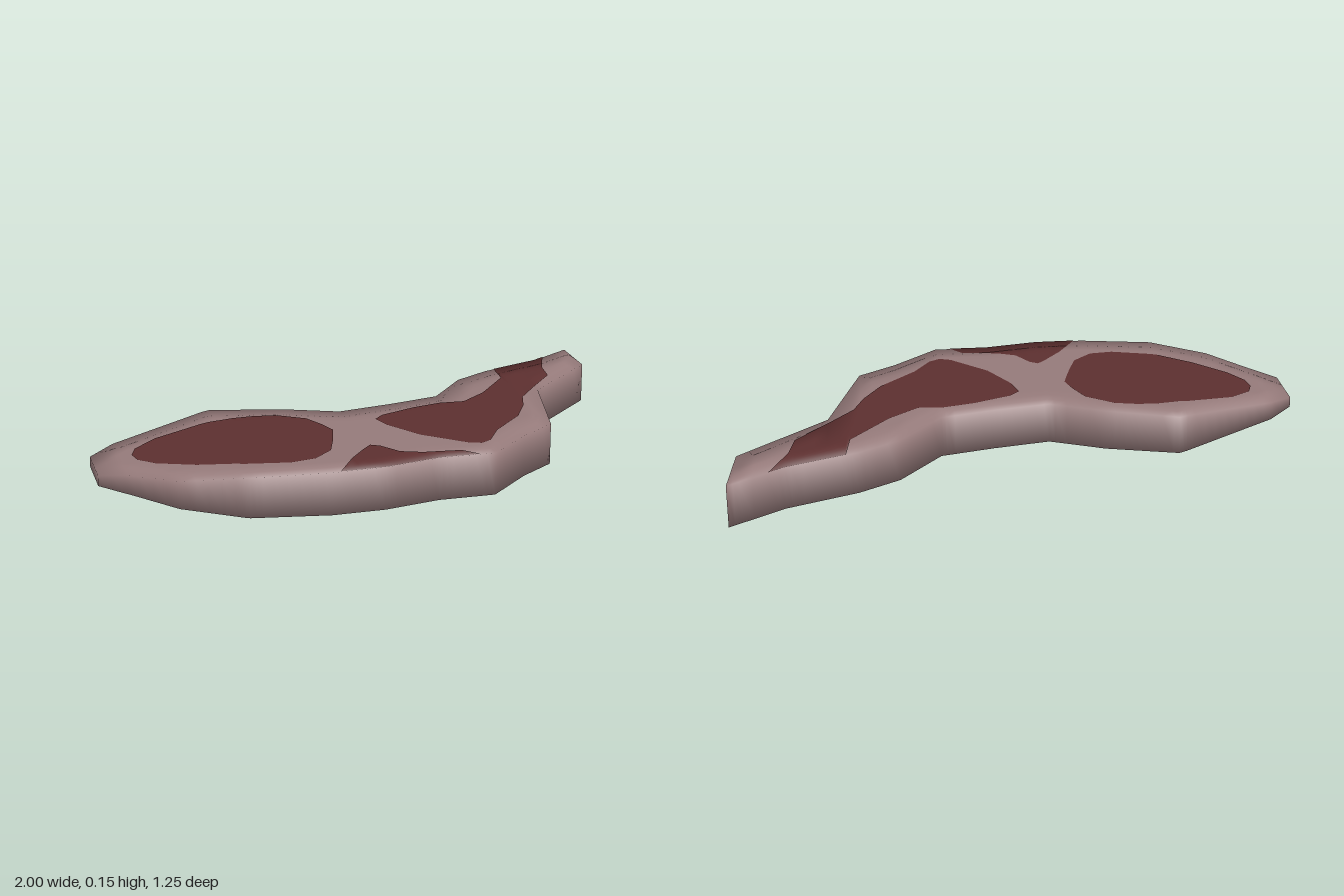
import * as THREE from 'three';

// Edges are curves z(x), listed as [x, z] points
const BACK = [[-1, .08], [-.91, 0], [-.54, -.19], [-.29, -.115], [-.1, -.03], [.1, -.07], [.29, -.12],
  [.44, -.31], [.58, -.4], [.82, -.5], [1, -.625]];
const FRONT = [[-1, .285], [-.91, .355], [-.77, .5], [-.56, .59], [-.3, .623], [-.12, .618], [.075, .575],
  [.27, .575], [.43, .42], [.565, .32], [.68, -.1], [.98, -.39], [1, -.625]];
// Half thickness along x: thin at the left end
const HALF = [[-1, .018], [-.92, .031], [-.57, .067], [-.3, .0715], [.1, .0725], [1, .0725]];
const MID = .0725;

// Lean areas, each between a back and a front edge
const LEAN = {
  largeLean: {
    back: [[-.87, .16], [-.85, .1], [-.77, .03], [-.6, -.035], [-.48, -.06], [-.41, -.06], [-.33, -.045],
      [-.235, .025], [-.2, .11], [-.18, .18]],
    front: [[-.87, .16], [-.86, .22], [-.81, .29], [-.69, .38], [-.55, .45], [-.4, .485], [-.315, .47],
      [-.245, .4], [-.215, .31], [-.19, .22], [-.18, .18]],
  },
  tailLean: {
    back: [[-.005, .1], [.03, .06], [.165, 0], [.275, -.03], [.365, -.025], [.47, -.115], [.605, -.29],
      [.62, -.42], [.82, -.5], [.87, -.535]],
    front: [[-.005, .1], [.015, .18], [.09, .32], [.22, .45], [.26, .465], [.3, .44], [.36, .34], [.49, .2],
      [.555, .08], [.59, -.02], [.67, -.125], [.79, -.275], [.81, -.385], [.87, -.535]],
  },
  edgeLean: {
    back: [[-.27, .62], [-.2, .5], [-.14, .42], [-.105, .38], [-.075, .4], [-.03, .475], [.04, .505],
      [.17, .52], [.215, .575]],
    front: FRONT,
  },
};

function at(curve, x) {
  for (let i = 1; i < curve.length; i++) {
    const [x0, z0] = curve[i - 1], [x1, z1] = curve[i];
    if (x <= x1) return z0 + (z1 - z0) * Math.max(0, (x - x0) / (x1 - x0));
  }
  return curve[curve.length - 1][1];
}

// All corner positions between x0 and x1, with even steps between
function columns(x0, x1, ...curves) {
  const xs = [x0, x1, ...curves.flat().map(p => p[0])];
  for (let x = -1; x < 1; x += .04) xs.push(x);
  return [...new Set(xs.map(x => +x.toFixed(4)))].filter(x => x >= x0 && x <= x1).sort((a, b) => a - b);
}

// Normal leaning outwards within a soft band along the rim
function rimNormal(x, z, side) {
  const n = new THREE.Vector3(0, side, 0), band = .1;
  const lo = Math.max(-1, x - .04), hi = Math.min(1, x + .04);
  for (const [curve, dir] of [[BACK, -1], [FRONT, 1]]) {
    const s = (at(curve, hi) - at(curve, lo)) / (hi - lo), len = Math.hypot(1, s);
    const t = Math.max(0, 1 - Math.max(0, dir * (at(curve, x) - z)) / len / band);
    n.x -= dir * s / len * t;
    n.z += dir / len * t;
  }
  n.x -= Math.max(0, 1 - (x + 1) / band);
  return n.normalize();
}

function buildGeometry(points, index) {
  const geo = new THREE.BufferGeometry();
  geo.setAttribute('position', new THREE.Float32BufferAttribute(points.flatMap(p => p.pos), 3));
  geo.setAttribute('normal', new THREE.Float32BufferAttribute(points.flatMap(p => p.normal.toArray()), 3));
  geo.setIndex(index);
  return geo;
}

const surfacePoint = (x, z, side, lift = 0) =>
  ({ pos: [x, MID + side * (at(HALF, x) + lift), z], normal: rimNormal(x, z, side) });

// Sheet between two edges on the upper (side 1) or lower (side -1) face
function sheet(xs, back, front, side, lift) {
  const rows = 14, points = [], index = [];
  xs.forEach((x, i) => {
    const z0 = Math.max(at(back, x), at(BACK, x));
    const z1 = Math.max(z0, Math.min(at(front, x), at(FRONT, x)));
    for (let j = 0; j <= rows; j++) {
      points.push(surfacePoint(x, z0 + (z1 - z0) * j / rows, side, lift));
      if (i === xs.length - 1 || j === rows) continue;
      const a = i * (rows + 1) + j, b = a + 1, c = a + rows + 1, d = c + 1;
      index.push(...(side > 0 ? [a, b, c, b, d, c] : [a, c, b, b, c, d]));
    }
  });
  return buildGeometry(points, index);
}

// Upright wall around the outline
function wall(xs) {
  const loop = [...xs.map(x => [x, at(FRONT, x)]), ...[...xs].reverse().map(x => [x, at(BACK, x)])];
  const points = [], index = [], n = loop.length;
  loop.forEach(([x, z], i) => {
    points.push(surfacePoint(x, z, -1), surfacePoint(x, z, 1));
    const a = 2 * i, b = 2 * ((i + 1) % n);
    index.push(a, b, a + 1, b, b + 1, a + 1);
  });
  return buildGeometry(points, index);
}

export function createModel() {
  const group = new THREE.Group();
  group.name = 'steak';
  const fat = new THREE.MeshStandardMaterial({ color: 0x957a7a });
  fat.name = 'palePinkFat';
  const lean = new THREE.MeshStandardMaterial({ color: 0x5c2f2f });
  lean.name = 'darkRedMeat';

  const add = (name, geo, material) => {
    const mesh = new THREE.Mesh(geo, material);
    mesh.name = name;
    group.add(mesh);
  };

  const xs = columns(-1, 1, BACK, FRONT, HALF);
  add('rim', wall(xs), fat);
  for (const [label, side] of [['upper', 1], ['lower', -1]]) {
    add(label + 'Face', sheet(xs, BACK, FRONT, side, 0), fat);
    // Lean meat as thin layers on each face
    for (const [name, { back, front }] of Object.entries(LEAN)) {
      const cols = columns(back[0][0], back[back.length - 1][0], back, front, BACK, FRONT, HALF);
      add(`${label} ${name}`, sheet(cols, back, front, side, .002), lean);
    }
  }
  return group;
}
